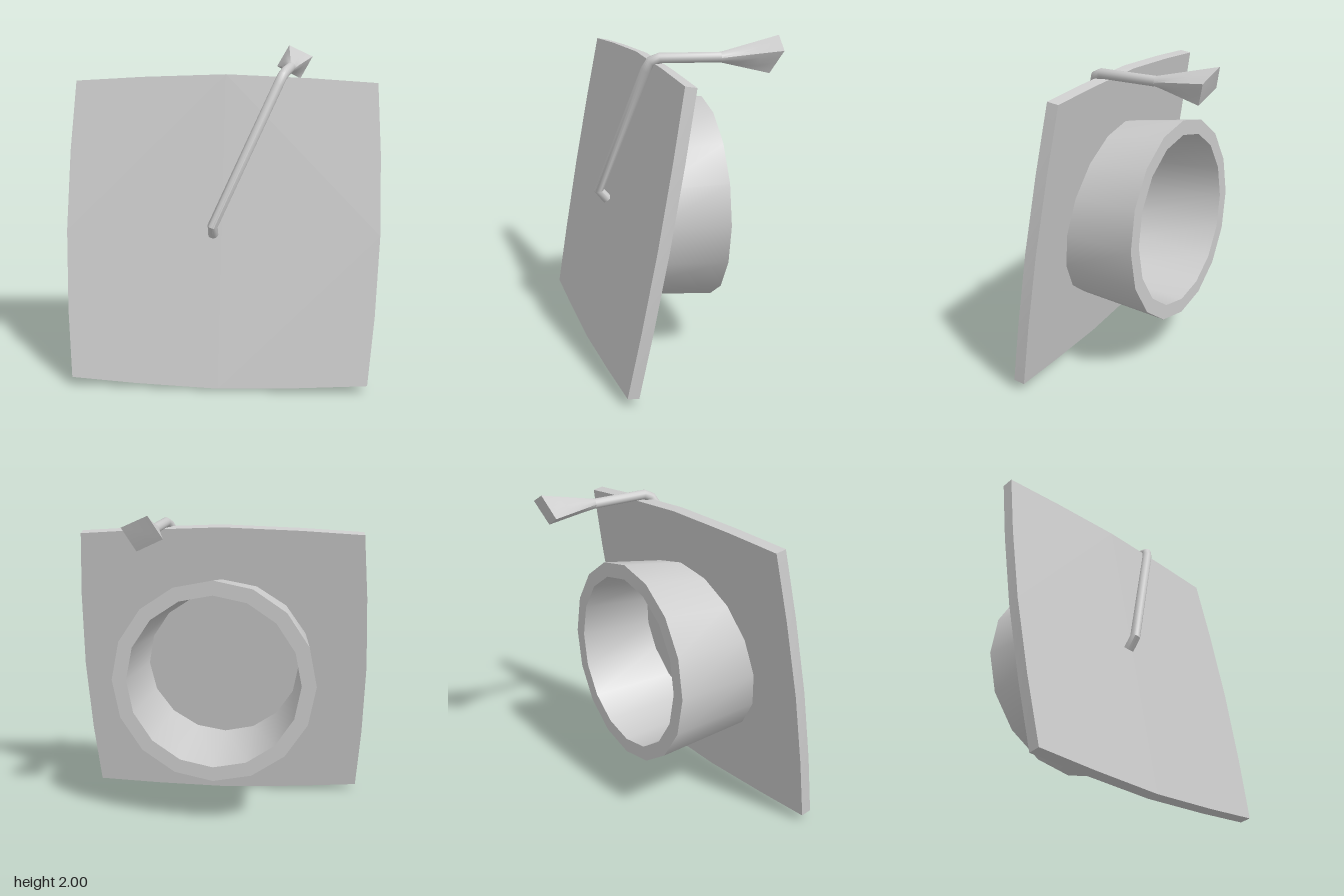
import * as THREE from 'three';
import { toCreasedNormals } from 'three/addons/utils/BufferGeometryUtils.js';

const V = (x, y, z) => new THREE.Vector3(x, y, z);
const MID_Y = 0.948, SLOPE_X = -0.072, SLOPE_Y = -0.184;
const material = new THREE.MeshStandardMaterial({ color: 0xcccccc });

// depth of the tilted board's front face, y measured from the board centre
const boardZ = (x, y) => 0.37 + SLOPE_X * x + SLOPE_Y * y;

function part(name, geometry) {
  const mesh = new THREE.Mesh(geometry, material);
  mesh.name = name;
  return mesh;
}

// Square board with slightly bulging sides, tilted back
function boardGeometry() {
  const sides = [
    [[0.9, -0.893], [0.93, -0.48], [0.945, 0], [0.93, 0.48]],
    [[0.9, 0.893], [0.5, 0.918], [0, 0.937], [-0.5, 0.918]],
  ];
  const half = sides.flat();
  const outline = [...half, ...half.map(([x, y]) => [-x, -y])];
  const shape = new THREE.Shape(outline.map(([x, y]) => new THREE.Vector2(x, y)));
  const geo = new THREE.ExtrudeGeometry(shape, { depth: 0.07, bevelEnabled: false });
  geo.translate(0, 0, -0.07);
  const normal = V(-SLOPE_X, -SLOPE_Y, 1).normalize();
  geo.applyMatrix4(new THREE.Matrix4().makeBasis(V(1, 0, SLOPE_X), V(0, 1, SLOPE_Y), normal));
  geo.translate(0, MID_Y, boardZ(0, 0));
  return toCreasedNormals(geo, 0.1);
}

// Hollow band: flat rim at the back, front end cut to meet the board
function bandGeometry() {
  const profile = [[0.5, 1], [0.55, 0], [0.642, 0], [0.587, 1]];
  const geo = new THREE.LatheGeometry(profile.map(([r, t]) => new THREE.Vector2(r, t)), 16);
  geo.rotateX(Math.PI / 2);
  const p = geo.attributes.position;
  const back = -0.22;
  for (let i = 0; i < p.count; i++) {
    const end = boardZ(p.getX(i), p.getY(i)) - 0.065;
    p.setZ(i, back + p.getZ(i) * (end - back));
  }
  geo.translate(0, MID_Y - 0.003, 0);
  return toCreasedNormals(geo, 0.6);
}

// Closed skin over a list of equal-length rings
function loft(rings) {
  const n = rings[0].length, last = rings.length - 1;
  const points = rings.flat();
  const index = [];
  for (let i = 0; i < last; i++) {
    for (let k = 0; k < n; k++) {
      const a = i * n + k, b = i * n + (k + 1) % n;
      index.push(a, b, a + n, b, b + n, a + n);
    }
  }
  for (let k = 1; k < n - 1; k++) {
    index.push(0, k + 1, k, last * n, last * n + k, last * n + k + 1);
  }
  const geo = new THREE.BufferGeometry().setFromPoints(points);
  geo.setIndex(index);
  return toCreasedNormals(geo, 0.8);
}

const SIDES = 16;
function circleRing(centre, tangent, radius) {
  const u = V(1, 0, 0).addScaledVector(tangent, -tangent.x).normalize();
  const v = tangent.clone().cross(u);
  return Array.from({ length: SIDES }, (_, k) => {
    const a = k / SIDES * Math.PI * 2;
    return centre.clone().addScaledVector(u, radius * Math.cos(a)).addScaledVector(v, radius * Math.sin(a));
  });
}

// Cord from the middle of the board, over the top edge and backwards
function cordGeometry() {
  const path = [V(-0.05, 0.945, 0.385), V(-0.045, 1.01, 0.437), V(0.315, 1.83, 0.212),
    V(0.338, 1.88, 0.187), V(0.352, 1.9, 0.14), V(0.352, 1.89, -0.225)];
  const dir = (i) => path[i + 1].clone().sub(path[i]).normalize();
  const last = path.length - 1;
  return loft(path.map((p, i) => {
    const t = dir(Math.max(i - 1, 0)).add(dir(Math.min(i, last - 1))).normalize();
    return circleRing(p, t, 0.031);
  }));
}

// Tassel flaring from the round cord to a slanted square end
function tasselGeometry() {
  const corners = [V(0.47, 1.93, -0.575), V(0.395, 1.79, -0.515), V(0.235, 1.865, -0.545), V(0.31, 2.0, -0.6)];
  const end = Array.from({ length: SIDES }, (_, k) => {
    const q = SIDES / 4, c = Math.floor(k / q);
    return corners[c].clone().lerp(corners[(c + 1) % 4], (k % q) / q);
  });
  const start = circleRing(V(0.352, 1.89, -0.225), V(0, 0, -1), 0.031);
  const rings = [0, 0.33, 0.67, 1].map((f) => start.map((p, k) => p.clone().lerp(end[k], f)));
  return loft(rings);
}

export function createModel() {
  const model = new THREE.Group();
  model.name = 'graduationCap';
  model.add(
    part('board', boardGeometry()),
    part('headBand', bandGeometry()),
    part('cord', cordGeometry()),
    part('tassel', tasselGeometry()),
  );
  return model;
}
